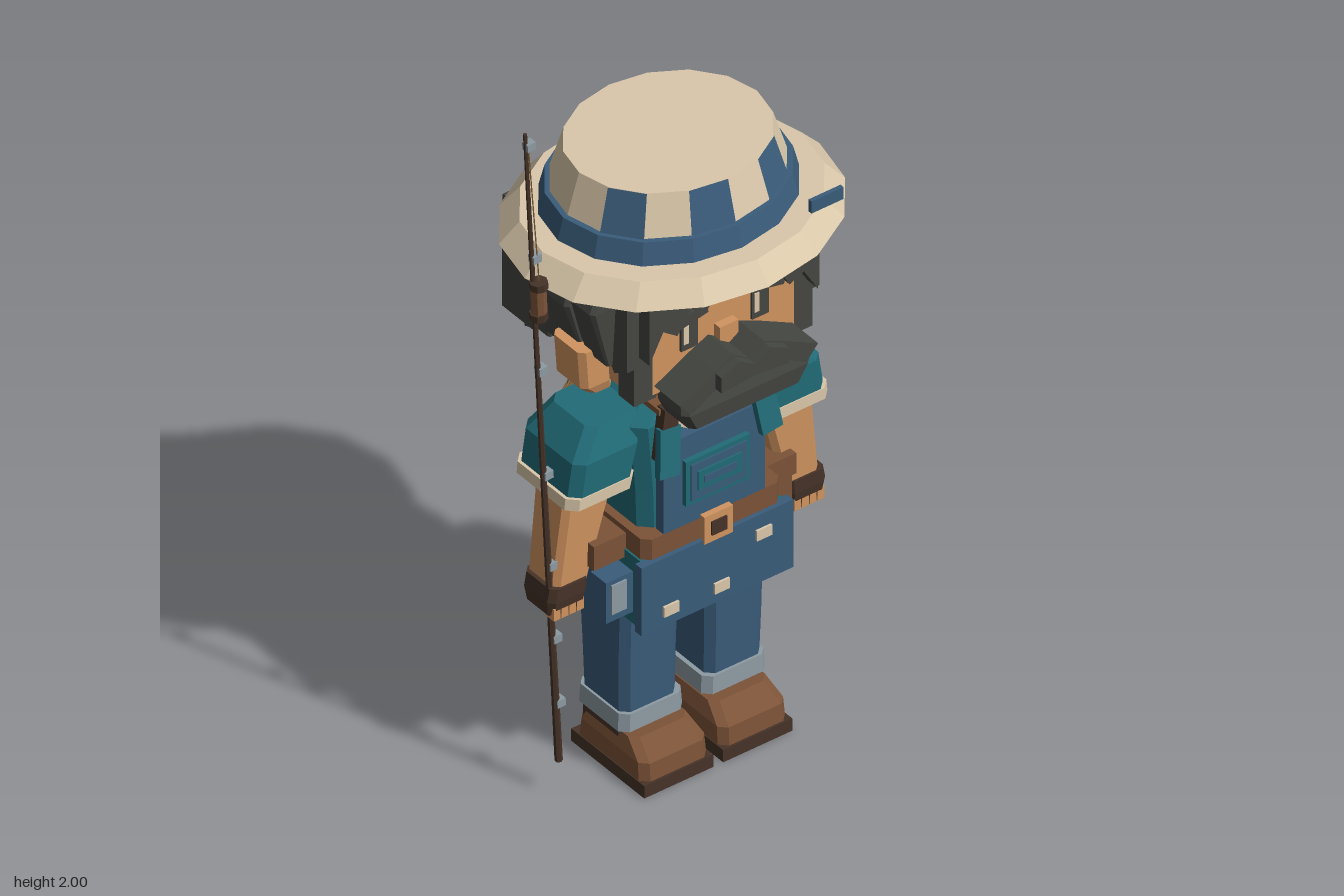
import * as THREE from 'three';

const mat = (name, color) => Object.assign(new THREE.MeshStandardMaterial({ color }), { name });

export function createModel() {
  const cream = mat('cream canvas', 0xdac8aa), denim = mat('denim blue', 0x3a5c7a), hair = mat('charcoal hair', 0x454742);
  const skin = mat('skin', 0xd19460), teal = mat('teal cloth', 0x216b77), leather = mat('brown leather', 0x7c5338);
  const dark = mat('dark leather', 0x463328), metal = mat('grey', 0x8d9ba3), rope = mat('rope', 0x927347);
  const model = new THREE.Group();
  const body = new THREE.Group();
  body.name = 'angler';
  body.position.x = 0.02;
  model.add(body);

  const add = (name, geo, m, p = [0, 0, 0], r = [0, 0, 0], parent = body) => {
    const flat = geo.index ? geo.toNonIndexed() : geo;
    flat.computeVertexNormals();
    const mesh = new THREE.Mesh(flat, m);
    mesh.name = name;
    mesh.position.set(...p);
    mesh.rotation.set(...r);
    parent.add(mesh);
    return mesh;
  };
  const box = (name, m, w, h, d, x, y, z, rz = 0, rx = 0) => add(name, new THREE.BoxGeometry(w, h, d), m, [x, y, z], [rx, 0, rz]);

  // Stack of bevelled rectangles: [y, centreX, centreZ, halfWidth, halfDepth, bevel]
  const loft = (name, m, rows) => {
    const rings = rows.map(([y, cx, cz, w, d, b]) => [[-w + b, d], [w - b, d], [w, d - b], [w, b - d],
      [w - b, -d], [b - w, -d], [-w, b - d], [-w, d - b]].map(([x, z]) => [cx + x, y, cz + z]));
    const pos = [], tri = (...p) => p.forEach(v => pos.push(...v));
    const lo = rings[0], hi = rings[rings.length - 1];
    for (let i = 0; i < 8; i++) {
      const j = (i + 1) % 8;
      for (let k = 0; k + 1 < rings.length; k++) {
        const a = rings[k], c = rings[k + 1];
        tri(a[i], a[j], c[j]);
        tri(a[i], c[j], c[i]);
      }
      if (i > 0 && i < 7) {
        tri(hi[0], hi[i], hi[j]);
        tri(lo[0], lo[j], lo[i]);
      }
    }
    const g = new THREE.BufferGeometry();
    g.setAttribute('position', new THREE.Float32BufferAttribute(pos, 3));
    return add(name, g, m);
  };

  const plate = (name, m, pts, depth, p, r) => add(name, new THREE.ExtrudeGeometry(
    new THREE.Shape(pts.map(q => new THREE.Vector2(...q))), { depth, bevelEnabled: false }), m, p, r);
  // Plate with a straight top and a ragged lower edge
  const ragged = (name, m, x0, x1, top, lows, depth, p, r) => plate(name, m, [[x1, top], [x0, top],
    ...lows.map((y, i) => [x0 + (x1 - x0) * i / (lows.length - 1), y])], depth, p, r);
  const tube = (name, m, pts, rad, seg = 1, parent = body, sides = 5) => add(name, new THREE.TubeGeometry(
    new THREE.CatmullRomCurve3(pts.map(q => new THREE.Vector3(...q))), seg, rad, sides), m, [0, 0, 0], [0, 0, 0], parent);

  // Hat: oval brim, band, tapering crown with three patches
  const oval = (name, m, top, bottom, y0, y1, sz, cz, ...arc) => add(name,
    new THREE.CylinderGeometry(top, bottom, y1 - y0, ...arc), m, [0, (y0 + y1) / 2, cz]).scale.z = sz;
  oval('hatBrim', cream, 0.385, 0.437, 1.53, 1.585, 0.86, 0, 16);
  oval('hatBand', denim, 0.313, 0.33, 1.58, 1.645, 0.87, -0.013, 16);
  oval('hatCrown', cream, 0.264, 0.3, 1.64, 1.755, 0.875, -0.015, 16);
  for (const k of [-3, -1, 1]) {
    oval('hatPatch', denim, 0.267, 0.303, 1.642, 1.756, 0.875, -0.015, 1, 1, true, k * Math.PI / 8, Math.PI / 8);
  }
  box('bandTab', denim, 0.095, 0.035, 0.012, 0.255, 1.607, 0.265);

  // Head
  loft('head', skin, [[1.14, 0, 0, 0.19, 0.15, 0.04], [1.2, 0, 0, 0.25, 0.2, 0.04], [1.53, 0, 0, 0.25, 0.2, 0.04]]);
  box('neck', skin, 0.14, 0.12, 0.13, 0, 1.1, 0);
  box('nose', skin, 0.055, 0.06, 0.03, 0, 1.3, 0.208);
  loft('hairCap', hair, [[1.42, 0, -0.03, 0.27, 0.195, 0.03], [1.54, 0, -0.03, 0.28, 0.21, 0.03]]);
  ragged('fringe', hair, -0.25, 0.25, 1.54,
    [1.33, 1.41, 1.38, 1.44, 1.41, 1.46, 1.44, 1.48, 1.42, 1.45, 1.38, 1.4, 1.33], 0.06, [0, 0, 0.18]);
  ragged('backHair', hair, -0.295, 0.295, 1.53, [1.22, 1.26, 1.2, 1.24, 1.19, 1.25, 1.2, 1.24, 1.19, 1.25, 1.22], 0.12, [0, 0, -0.275]);
  ragged('backHairUpper', hair, -0.27, 0.27, 1.52, [1.34, 1.3, 1.36, 1.3, 1.35, 1.29, 1.36, 1.31, 1.34], 0.05, [0, 0, -0.305]);

  // Beard and moustache
  loft('beard', hair, [[1.13, 0, 0.235, 0.165, 0.06, 0.015], [1.18, 0, 0.24, 0.19, 0.06, 0.015], [1.235, 0, 0.23, 0.185, 0.06, 0.015]]);
  for (const s of [1, -1]) {
    plate('moustache', hair, [[0, 1.235], [0, 1.275], [0.045 * s, 1.305], [0.1 * s, 1.28], [0.205 * s, 1.225],
      [0.17 * s, 1.185], [0.1 * s, 1.225]], 0.11, [0, 0, 0.19]);
    plate('moustacheFront', hair, [[0, 1.24], [0, 1.272], [0.045 * s, 1.3], [0.1 * s, 1.275], [0.1 * s, 1.23]], 0.025, [0, 0, 0.3]);
    box('eye', hair, 0.05, 0.08, 0.008, 0.105 * s, 1.335, 0.203);
    box('eyeGlint', cream, 0.014, 0.055, 0.008, 0.105 * s - 0.012, 1.342, 0.206);
    box('eyebrow', hair, 0.1, 0.03, 0.03, 0.115 * s, 1.4, 0.21, -0.2 * s);
    box('sideburn', hair, 0.065, 0.24, 0.06, 0.232 * s, 1.31, 0.17);
    loft('ear', skin, [[1.17, 0.265 * s, 0.03, 0.035, 0.05, 0.015], [1.2, 0.285 * s, 0.03, 0.045, 0.06, 0.015],
      [1.31, 0.293 * s, 0.03, 0.045, 0.06, 0.015]]);
    // Continuous side hair with locks of varied length over it
    ragged('sideHair', hair, -0.2, 0.2, 1.53, [1.2, 1.22, 1.24, 1.3, 1.33, 1.3, 1.34, 1.27, 1.3], 0.04,
      [s > 0 ? 0.285 : -0.245, 0, 0], [0, -Math.PI / 2, 0]);
    [[0.1, 1.29, 0.295], [0.015, 1.32, 0.315], [-0.07, 1.25, 0.29], [-0.16, 1.21, 0.27]].forEach(([z, low, x], i) =>
      loft('sideLock', hair, [[low, (x - 0.02) * s, z, 0.025, 0.043, 0.005],
        [1.47 - 0.02 * (i % 2), x * s, z, 0.06 - 0.008 * i, 0.055, 0.01], [1.535, (x - 0.02) * s, z, 0.05, 0.05, 0.01]]));
  }

  // Shirt, trousers and belt
  loft('shirt', teal, [[0.69, 0, 0, 0.18, 0.13, 0.03], [0.85, 0, 0, 0.185, 0.13, 0.03], [1.04, 0, 0, 0.2, 0.13, 0.03],
    [1.09, 0, 0, 0.14, 0.1, 0.03]]);
  loft('hips', denim, [[0.5, 0, -0.005, 0.18, 0.1, 0.02], [0.7, 0, -0.01, 0.185, 0.122, 0.03]]);
  loft('belt', leather, [[0.67, 0, 0.03, 0.205, 0.135, 0.02], [0.74, 0, 0.03, 0.205, 0.135, 0.02]]);

  // Apron with bib, pocket and patches
  box('bib', denim, 0.3, 0.27, 0.03, 0, 0.865, 0.15);
  box('apronSkirt', denim, 0.45, 0.2, 0.025, 0, 0.58, 0.165);
  box('bibPocket', teal, 0.19, 0.13, 0.02, 0, 0.87, 0.17);
  box('pocketPanel', denim, 0.165, 0.105, 0.008, 0, 0.87, 0.18);
  box('pocketBadge', teal, 0.13, 0.055, 0.008, 0, 0.872, 0.185);
  box('badgeCentre', denim, 0.095, 0.02, 0.008, 0, 0.872, 0.188);
  for (const [x, y] of [[0.135, 0.625], [-0.14, 0.525], [0.01, 0.525]]) box('patch', cream, 0.045, 0.03, 0.008, x, y, 0.18);
  box('buckle', skin, 0.085, 0.08, 0.02, 0, 0.71, 0.172);
  box('buckleCentre', dark, 0.045, 0.04, 0.008, 0, 0.71, 0.182);

  // Paired limbs, straps and footwear
  for (const s of [1, -1]) {
    box('apronSide', teal, 0.03, 0.2, 0.19, 0.195 * s, 0.58, 0.06);
    plate('collar', cream, [[0.01 * s, 1.085], [0.1 * s, 1.09], [0.11 * s, 1.035], [0.06 * s, 1.0]], 0.03, [0, 0, 0.115]);
    box('collarSide', cream, 0.03, 0.02, 0.18, 0.085 * s, 1.085, 0.03);
    // Shoulder strap over the top
    box('strapFront', dark, 0.045, 0.15, 0.03, 0.14 * s, 1.035, 0.16, 0.12 * s);
    box('strapTab', teal, 0.06, 0.13, 0.02, 0.145 * s, 0.99, 0.175, 0.12 * s, -0.15);
    box('strapTop', leather, 0.04, 0.016, 0.29, 0.14 * s, 1.1, 0.015);
    box('strapLoop', dark, 0.04, 0.14, 0.03, 0.14 * s, 1.03, -0.14);
    // Arm
    loft('sleeve', teal, [[0.9, 0.285 * s, 0, 0.095, 0.115, 0.025], [1.0, 0.265 * s, 0, 0.1, 0.115, 0.025],
      [1.07, 0.225 * s, 0, 0.08, 0.085, 0.025]]);
    loft('sleeveCuff', cream, [[0.878, 0.29 * s, 0, 0.1, 0.118, 0.025], [0.91, 0.285 * s, 0, 0.102, 0.118, 0.025]]);
    loft('arm', skin, [[0.6, 0.345 * s, 0.005, 0.052, 0.058, 0.015], [0.89, 0.29 * s, 0.005, 0.075, 0.067, 0.015]]);
    loft('glove', dark, [[0.55, 0.355 * s, 0.01, 0.052, 0.055, 0.015], [0.59, 0.354 * s, 0.01, 0.058, 0.06, 0.015],
      [0.628, 0.35 * s, 0.01, 0.055, 0.06, 0.015]]);
    for (let i = 0; i < 4; i++) box('finger', skin, 0.02, 0.035, 0.03, (0.322 + i * 0.023) * s, 0.555, 0.052);
    // Leg and boot
    loft('leg', denim, [[0.12, 0.125 * s, 0, 0.082, 0.085, 0.02], [0.32, 0.127 * s, 0, 0.085, 0.09, 0.02],
      [0.56, 0.125 * s, -0.005, 0.087, 0.102, 0.02]]);
    loft('trouserCuff', metal, [[0.135, 0.123 * s, 0, 0.095, 0.096, 0.02], [0.185, 0.123 * s, 0, 0.092, 0.094, 0.02]]);
    loft('bootShaft', dark, [[0.08, 0.122 * s, -0.005, 0.086, 0.088, 0.02], [0.14, 0.122 * s, -0.005, 0.086, 0.088, 0.02]]);
    loft('boot', leather, [[0.035, 0.117 * s, 0.04, 0.1, 0.135, 0.02], [0.085, 0.117 * s, 0.04, 0.098, 0.13, 0.02],
      [0.125, 0.118 * s, 0.02, 0.085, 0.095, 0.02]]);
    box('sole', dark, 0.205, 0.036, 0.285, 0.117 * s, 0.018, 0.038);
    box('bootTab', dark, 0.1, 0.09, 0.03, 0.122 * s, 0.125, -0.1);
  }
  tube('netStrap', leather, [[-0.14, 1.09, -0.13], [-0.07, 0.85, -0.16], [0, 0.6, -0.2]], 0.02, 6, body, 4);

  // Belt pouches
  box('leftPouch', leather, 0.09, 0.13, 0.14, 0.25, 0.64, 0.01);
  box('leftPouchFlap', leather, 0.1, 0.06, 0.2, 0.25, 0.7, -0.01);
  box('pouchClasp', skin, 0.03, 0.03, 0.01, 0.23, 0.66, 0.083);
  box('rightPouch', leather, 0.1, 0.07, 0.2, -0.25, 0.69, -0.01);
  box('tackleBox', denim, 0.08, 0.12, 0.06, -0.255, 0.58, 0.1);
  box('tackleLid', metal, 0.045, 0.085, 0.008, -0.258, 0.585, 0.131);

  // Fishing rod with guides, line and reel
  const rodAt = y => [-0.35 - 0.1 * (y - 0.1) / 1.9, y, 0.045];
  const lean = Math.atan(0.1 / 1.9);
  add('rod', new THREE.CylinderGeometry(0.005, 0.01, 1.9, 6), dark, rodAt(1.05), [0, 0, lean], model);
  for (const y of [1.96, 1.62, 1.28, 0.965, 0.69, 0.47, 0.275]) {
    const [x, , z] = rodAt(y);
    add('guide', new THREE.BoxGeometry(0.024, 0.022, 0.022), metal, [x + 0.01, y, z], [0, 0, lean], model);
  }
  tube('line', rope, [[-0.44, 1.96, 0.045], [-0.415, 1.55, 0.055]], 0.002, 1, model, 3);
  add('reel', new THREE.CylinderGeometry(0.02, 0.02, 0.08, 8), leather, [-0.417, 1.5, 0.055], [0, 0, lean], model);
  for (const y of [1.455, 1.545]) {
    add('reelRim', new THREE.CylinderGeometry(0.023, 0.023, 0.02, 8), dark, [-0.417, y, 0.055], [0, 0, lean], model);
  }

  // Woven net on the back: two opposing families of twisting cords
  const radius = t => 0.08 * Math.sin(Math.PI * Math.pow(0.1 + 0.72 * t, 1.15)) + 0.008;
  const netPoint = (t, a) => {
    const r = radius(t);
    return [1.55 * r * Math.cos(a), 0.925 - 0.37 * t, -0.275 + r * Math.sin(a)];
  };
  for (const dir of [1, -1]) {
    for (let i = 0; i < 10; i++) {
      const pts = Array.from({ length: 13 }, (_, k) => netPoint(k / 12, i * Math.PI / 5 + dir * k / 12 * 1.8));
      tube('netCord', rope, pts, 0.0065, 24, model, 4);
    }
  }
  for (const t of [0, 1]) {
    const ring = add('netRing', new THREE.TorusGeometry(radius(t), 0.007, 5, 14), rope, [0, 0.925 - 0.37 * t, -0.275], [Math.PI / 2, 0, 0], model);
    ring.scale.x = 1.55;
  }
  add('netLoop', new THREE.TorusGeometry(0.04, 0.007, 5, 12), rope, [0, 0.975, -0.27], [0, 0, 0], model);
  return model;
}
